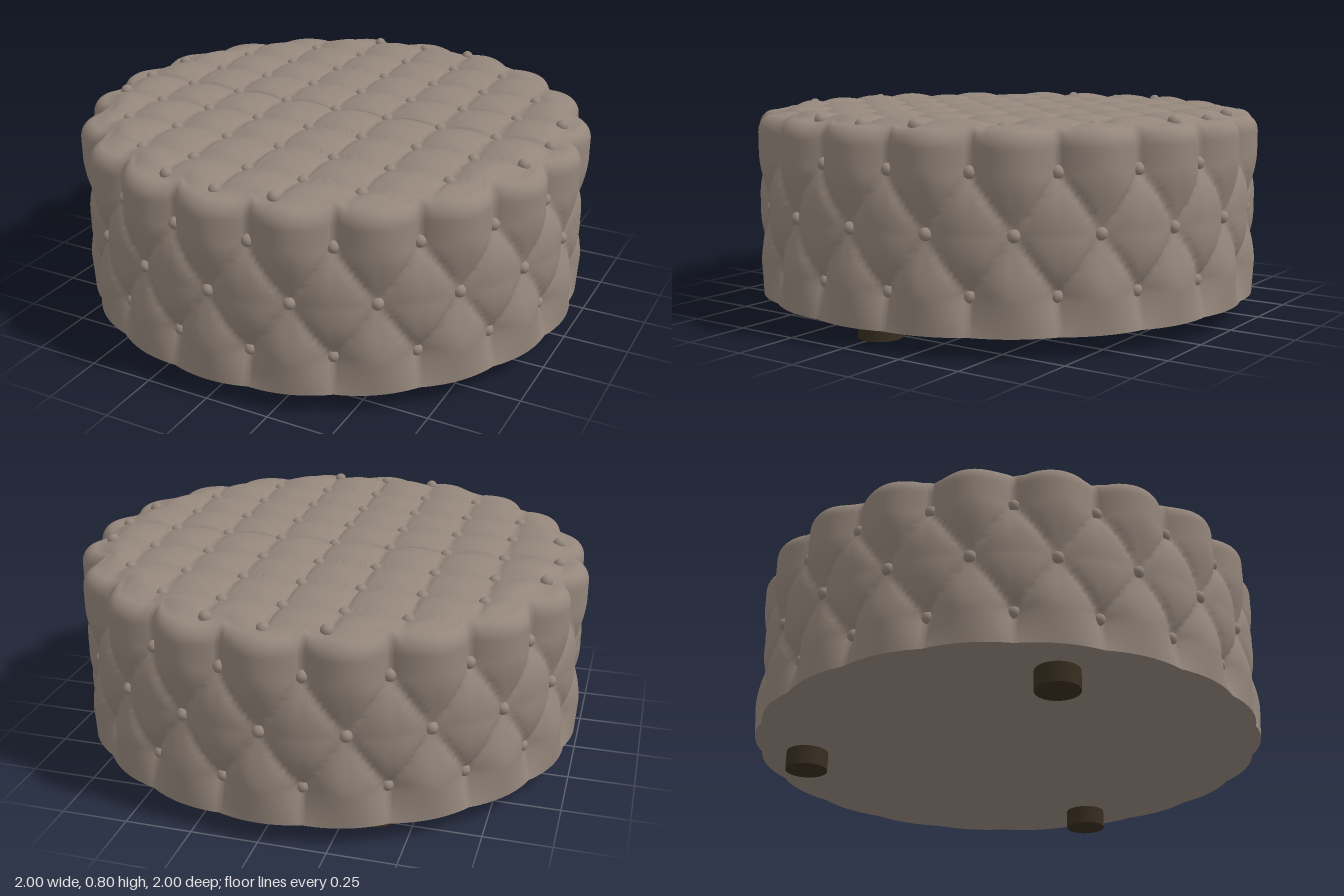
import * as THREE from 'three';
import { mergeVertices } from 'three/addons/utils/BufferGeometryUtils.js';

const COUNT = 20;        // buttons in each ring around the side
const BASE = 0.075;      // underside height
const SHOULDER = 0.71;   // where the side starts to roll into the top
const ROLL = 0.055;
const MID = 0.418, ROW = 0.21;
const GRID = 0.225;      // spacing of the top buttons

const clamp = THREE.MathUtils.clamp;
const wave = (t) => Math.abs(Math.sin(Math.PI * t));

// Padding height of one cell: 0 at a button, low on a crease, 1 in the middle
const pad = (p, q) => 0.75 * Math.pow(p * q, 0.4) + 0.25 * Math.max(p, q);

// Side radius: diamond tufting, with straight pleats above and below it
function sideRadius(angle, y) {
  const u = (angle / (2 * Math.PI)) * COUNT;
  const row = (y - MID) / ROW;
  const v = clamp(row, -1, 1);
  const inner = 1 - Math.abs(v);
  let h = pad(wave(u + v / 2), wave(u - v / 2));
  if (row < -1) {        // pleats fade out towards the hem
    const f = clamp((-1 - row) / 0.64, 0, 1);
    h = THREE.MathUtils.lerp(h, 0.85, f * 0.8);
  }
  return 0.93 + 0.02 * inner + (0.07 - 0.03 * inner) * h;
}

// Top height: square tufting that blends into the pleats at the rim
function topHeight(x, z) {
  const r = Math.hypot(x, z);
  const u = (Math.atan2(x, z) / (2 * Math.PI)) * COUNT;
  const middle = 0.76 + 0.04 * pad(wave(x / GRID), wave(z / GRID));
  const rim = 0.752 + 0.022 * Math.pow(wave(u + 0.5), 0.6);
  return THREE.MathUtils.lerp(middle, rim, THREE.MathUtils.smoothstep(r, 0.84, 0.95));
}

// Point on the cushion at an angle, with v running from the hem to the top centre
function cushionPoint(angle, v, target) {
  const edge = sideRadius(angle, SHOULDER);
  let r, y;
  if (v < 0.4) {
    y = BASE + (SHOULDER - BASE) * (v / 0.4);
    r = sideRadius(angle, y);
  } else if (v < 0.48) {
    const a = ((v - 0.4) / 0.08) * Math.PI / 2;
    const inner = edge - ROLL;
    const top = topHeight(inner * Math.sin(angle), inner * Math.cos(angle));
    r = inner + ROLL * Math.cos(a);
    y = SHOULDER + (top - SHOULDER) * Math.sin(a);
  } else {
    r = (edge - ROLL) * (1 - v) / 0.52;
    y = topHeight(r * Math.sin(angle), r * Math.cos(angle));
  }
  return target.set(r * Math.sin(angle), y, r * Math.cos(angle));
}

function cushionGeometry() {
  const geo = new THREE.PlaneGeometry(1, 1, 400, 125);
  const pos = geo.attributes.position;
  const p = new THREE.Vector3();
  for (let i = 0; i < pos.count; i++) {
    const turn = (pos.getX(i) + 0.5) % 1;
    cushionPoint(turn * 2 * Math.PI, clamp(pos.getY(i) + 0.5, 0, 1), p);
    pos.setXYZ(i, p.x, p.y, p.z);
  }
  geo.deleteAttribute('uv');
  geo.deleteAttribute('normal');
  const welded = mergeVertices(geo, 1e-5);
  welded.computeVertexNormals();
  return welded;
}

// Flat underside that follows the hem
function undersideGeometry() {
  const geo = new THREE.CircleGeometry(1, 200);
  geo.rotateX(Math.PI / 2);
  const pos = geo.attributes.position;
  for (let i = 1; i < pos.count; i++) {
    const a = Math.atan2(pos.getX(i), pos.getZ(i));
    const r = sideRadius(a, BASE);
    pos.setXYZ(i, r * Math.sin(a), 0, r * Math.cos(a));
  }
  return geo;
}

export function createModel() {
  const fabric = new THREE.MeshStandardMaterial({ color: 0x94867b });
  fabric.name = 'taupe fabric';
  const wood = new THREE.MeshStandardMaterial({ color: 0x382e20 });
  wood.name = 'dark wood';

  const model = new THREE.Group();
  model.name = 'tuftedOttoman';
  const add = (parent, name, geo, mat, x, y, z) => {
    const mesh = new THREE.Mesh(geo, mat);
    mesh.name = name;
    mesh.position.set(x, y, z);
    parent.add(mesh);
    return mesh;
  };

  add(model, 'cushion', cushionGeometry(), fabric, 0, 0, 0);
  add(model, 'underside', undersideGeometry(), fabric, 0, BASE, 0);

  // Buttons around the side, the middle ring staggered by half a step
  const button = new THREE.SphereGeometry(0.024, 12, 8);
  const sideButtons = new THREE.Group();
  sideButtons.name = 'sideButtons';
  for (const row of [-1, 0, 1]) {
    for (let i = 0; i < COUNT; i++) {
      const a = ((i + (row ? 0.5 : 0)) / COUNT) * 2 * Math.PI;
      const y = MID + row * ROW;
      const r = sideRadius(a, y) + 0.004;
      add(sideButtons, 'sideButton', button, fabric, r * Math.sin(a), y, r * Math.cos(a));
    }
  }
  model.add(sideButtons);

  // Buttons on the top grid, the outermost pulled in from the rim
  const topButtons = new THREE.Group();
  topButtons.name = 'topButtons';
  for (let i = -4; i <= 4; i++) {
    for (let j = -4; j <= 4; j++) {
      if (i * i + j * j > 17) continue;
      const k = Math.min(GRID, 0.887 / Math.max(1, Math.hypot(i, j)));
      const x = i * k, z = j * k;
      add(topButtons, 'topButton', button, fabric, x, topHeight(x, z) + 0.002, z);
    }
  }
  model.add(topButtons);

  // Three short round feet
  const foot = new THREE.CylinderGeometry(0.082, 0.082, 0.08, 32);
  for (const [x, z] of [[0.8, 0], [-0.615, 0.485], [-0.355, -0.715]]) {
    add(model, 'foot', foot, wood, x, 0.04, z);
  }
  return model;
}
